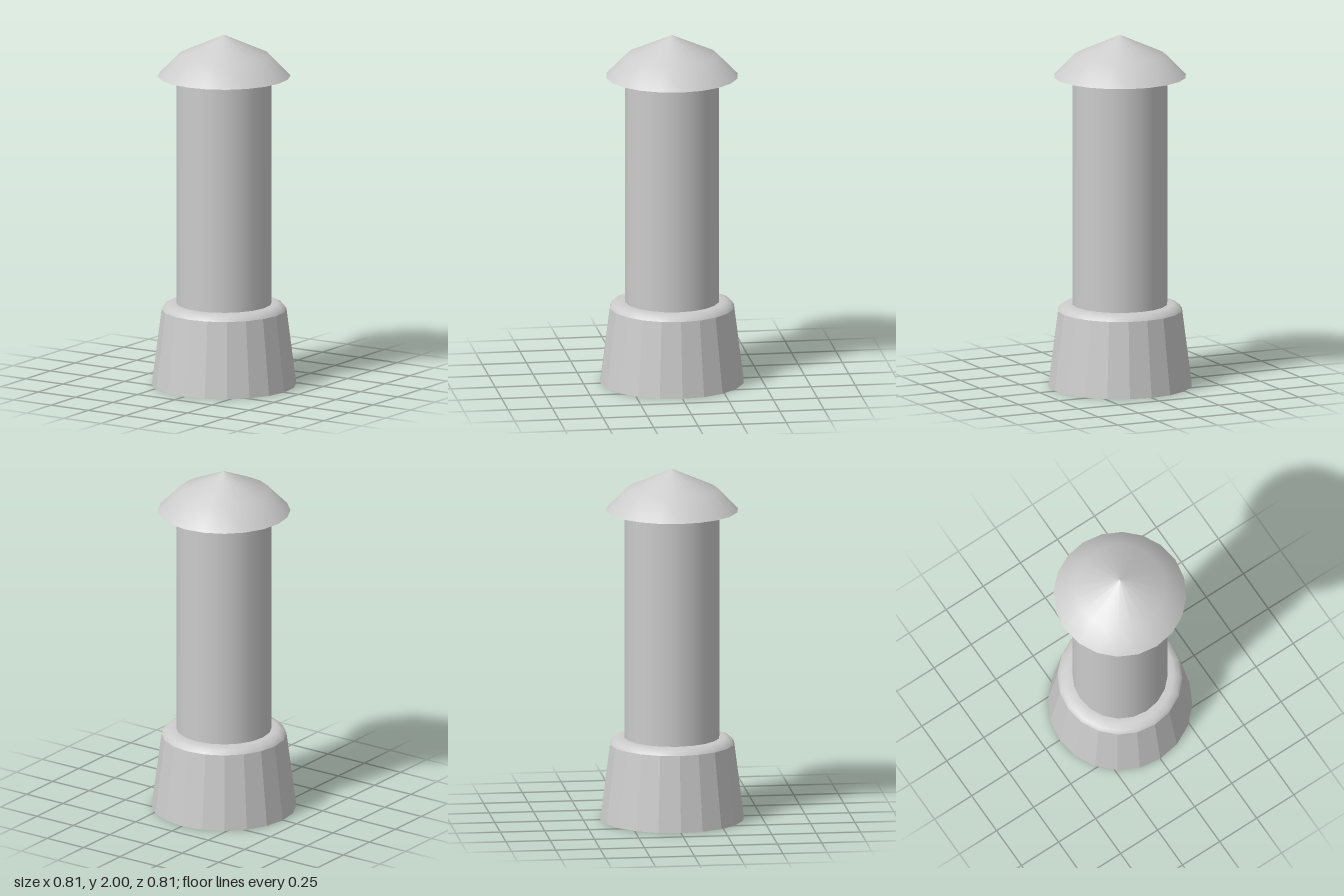
import * as THREE from 'three';

const SIDES = 20;

// Open turned shell from a bottom-to-top profile of [radius, height]
function turned(name, profile, flatShading = false) {
  const points = profile.map(([r, y]) => new THREE.Vector2(r, y));
  const material = new THREE.MeshStandardMaterial({
    color: 0xcccccc, side: THREE.DoubleSide, flatShading,
  });
  const mesh = new THREE.Mesh(new THREE.LatheGeometry(points, SIDES), material);
  mesh.name = name;
  return mesh;
}

export function createModel() {
  const model = new THREE.Group();
  model.name = 'ventPipe';

  // Hollow faceted skirt, open at the bottom
  const base = new THREE.Group();
  base.name = 'base';
  base.add(
    turned('skirt', [[0.405, 0], [0.35, 0.43]], true),
    turned('shoulder', [[0.35, 0.43], [0.335, 0.452], [0.305, 0.465], [0.265, 0.465]]),
  );

  // Straight pipe running from the shoulder up into the cap
  const pipe = turned('pipe', [[0.267, 0.46], [0.267, 1.866]]);

  // Hollow overhanging cap
  const cap = turned('cap', [[0.372, 1.765], [0.255, 1.885], [0, 2]]);

  model.add(base, pipe, cap);
  return model;
}
